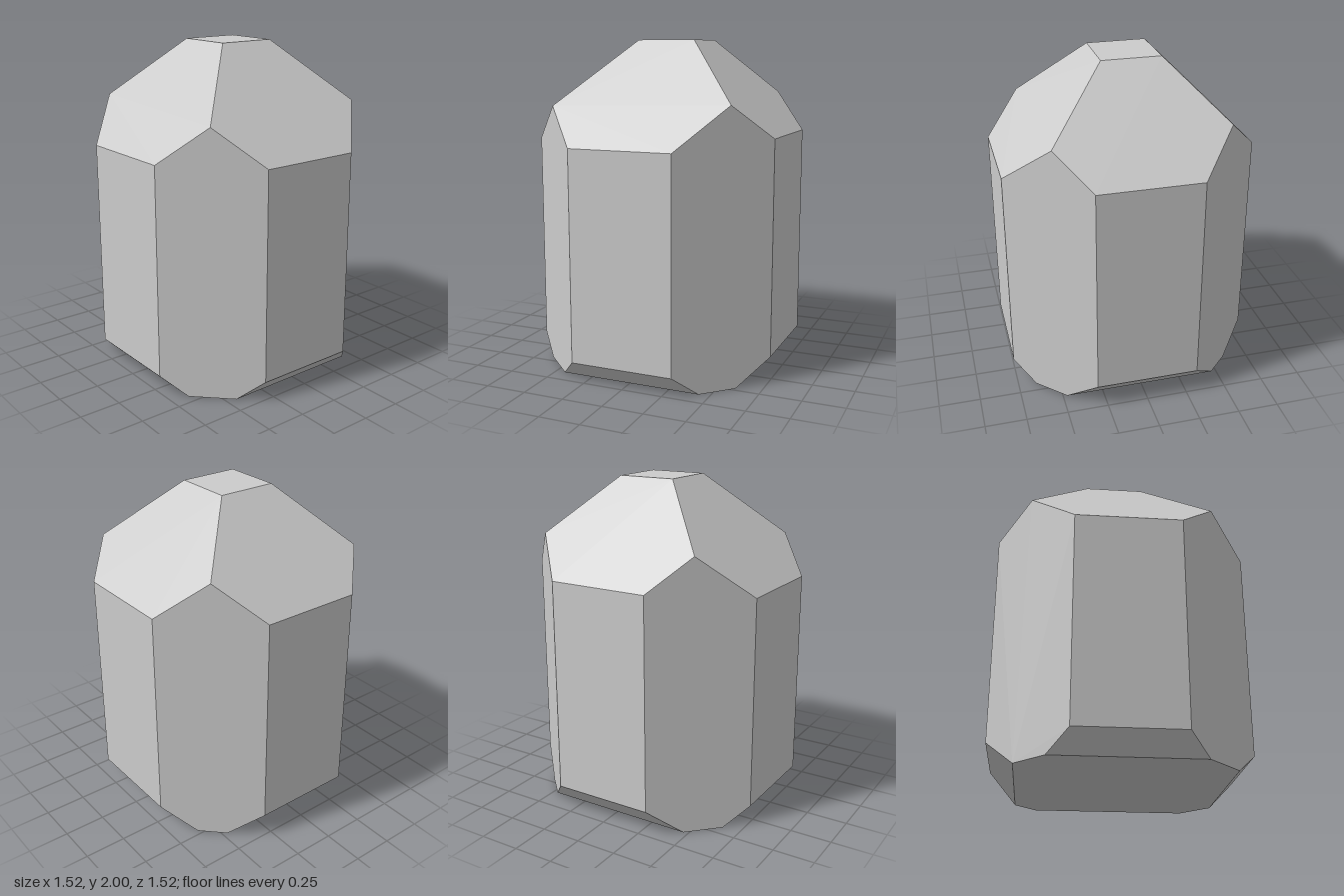
import * as THREE from 'three';

// Cutting planes of a faceted crystal: [nx, ny, nz, d] keeps nx*x + ny*y + nz*z <= d
const parts = {
  prismSides: [
    [1, 0, 0, 0.76], [-1, 0, 0, 0.76], [0, 0, 1, 0.76], [0, 0, -1, 0.76],
    [1, 0, 1, 1.075], [-1, 0, 1, 1.08], [1, 0, -1, 1.07], [-1, 0, -1, 1.07],
  ],
  crown: [
    [0, 1, 0, 2],
    [1, 1, 0, 2.205], [-1, 1, 0, 2.155], [0, 1, 1, 2.15], [0, 1, -1, 2.21],
  ],
  base: [
    [0, -1, 0, 0],
    [1, -1, 0, 0.6], [-1, -1, 0, 0.64], [0, -1, 1, 0.64], [0, -1, -1, 0.6],
  ],
};

const EPS = 1e-6;
const toPlane = ([x, y, z, d]) => ({ n: new THREE.Vector3(x, y, z), d });

// Corners are the points where three planes meet inside all the others
function findCorners(planes) {
  const corners = [];
  for (let i = 0; i < planes.length; i++)
    for (let j = i + 1; j < planes.length; j++)
      for (let k = j + 1; k < planes.length; k++) {
        const [a, b, c] = [planes[i], planes[j], planes[k]];
        const bc = b.n.clone().cross(c.n);
        const det = a.n.dot(bc);
        if (Math.abs(det) < EPS) continue;
        const p = bc.multiplyScalar(a.d)
          .addScaledVector(c.n.clone().cross(a.n), b.d)
          .addScaledVector(a.n.clone().cross(b.n), c.d)
          .divideScalar(det);
        const inside = planes.every((q) => q.n.dot(p) <= q.d + EPS);
        if (inside && !corners.some((o) => o.distanceTo(p) < 1e-4)) corners.push(p);
      }
  return corners;
}

// One facet: its corners sorted anticlockwise about the normal, as a triangle fan
function addFacet(plane, corners, positions) {
  const ring = corners.filter((p) => Math.abs(plane.n.dot(p) - plane.d) < 1e-5);
  if (ring.length < 3) return;
  const n = plane.n.clone().normalize();
  const centre = ring.reduce((s, p) => s.add(p), new THREE.Vector3()).divideScalar(ring.length);
  const u = ring[0].clone().sub(centre).normalize();
  const v = n.clone().cross(u);
  const angle = (p) => {
    const r = p.clone().sub(centre);
    return Math.atan2(r.dot(v), r.dot(u));
  };
  ring.sort((a, b) => angle(a) - angle(b));
  for (let i = 1; i < ring.length - 1; i++)
    for (const p of [ring[0], ring[i], ring[i + 1]]) positions.push(p.x, p.y, p.z);
}

export function createModel() {
  const group = new THREE.Group();
  group.name = 'crystal';
  const material = new THREE.MeshStandardMaterial({ color: 0xcccccc, flatShading: true });
  const corners = findCorners(Object.values(parts).flat().map(toPlane));

  for (const [name, planes] of Object.entries(parts)) {
    const positions = [];
    planes.map(toPlane).forEach((plane) => addFacet(plane, corners, positions));
    const geometry = new THREE.BufferGeometry();
    geometry.setAttribute('position', new THREE.Float32BufferAttribute(positions, 3));
    geometry.computeVertexNormals();
    const mesh = new THREE.Mesh(geometry, material);
    mesh.name = name;
    group.add(mesh);
  }
  return group;
}
